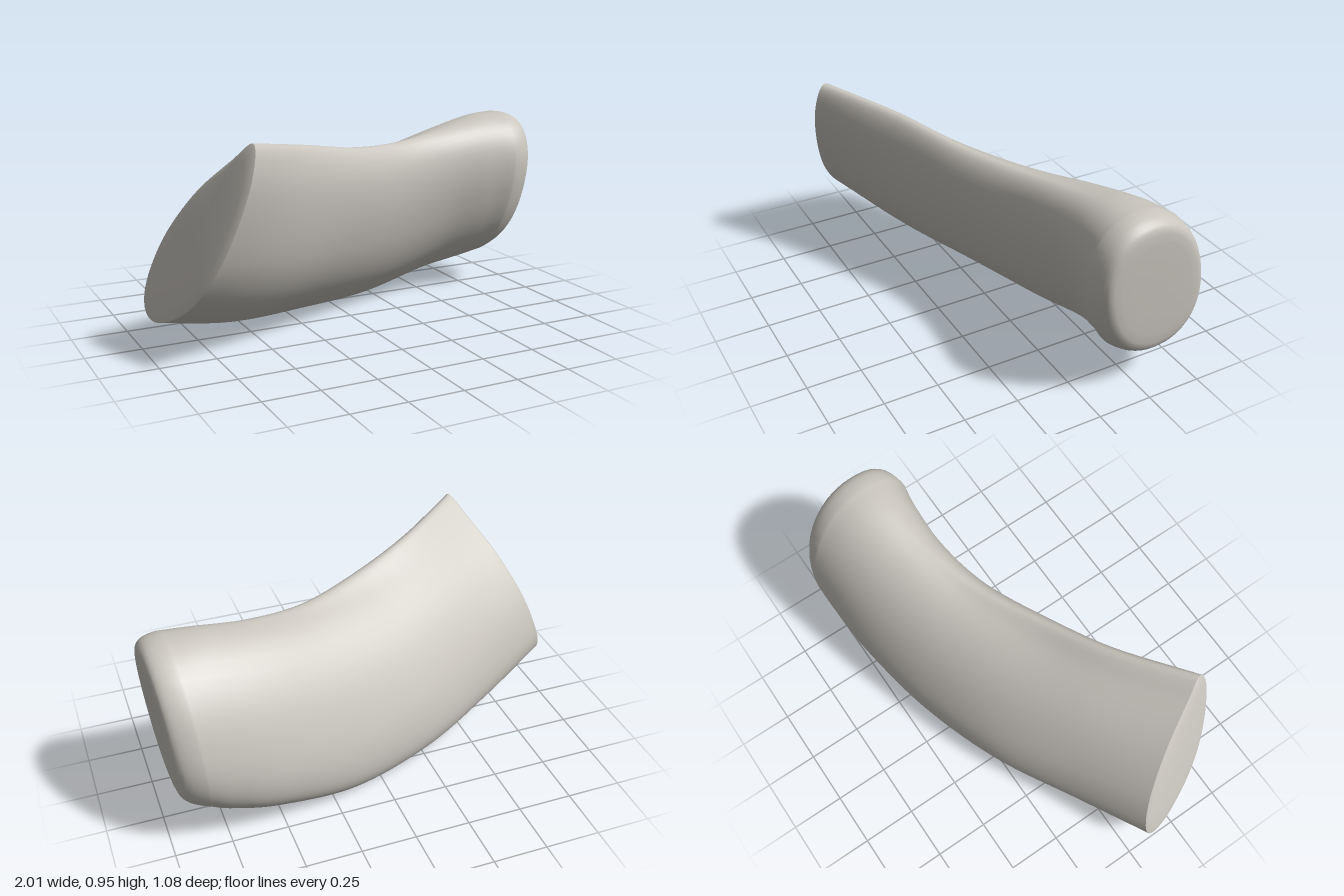
import * as THREE from 'three';

// Cross-sections along the bent body: centre, half-height vector, half-width vector
const SECTIONS = [
  [[-0.835, 0.56, 0.3], [0.157, 0.38, 0.137], [0.05, -0.04, 0.188]],
  [[-0.5, 0.475, 0.115], [0.13, 0.4, 0.11], [0.095, -0.03, 0.178]],
  [[-0.15, 0.418, -0.055], [0.09, 0.4, 0.125], [0.09, -0.015, 0.195]],
  [[0.2, 0.4, -0.185], [0.03, 0.4, 0.125], [0.07, 0, 0.205]],
  [[0.52, 0.447, -0.253], [-0.01, 0.382, 0.115], [0.03, 0, 0.226]],
  [[0.75, 0.49, -0.263], [0.015, 0.38, 0.095], [0.015, -0.01, 0.25]],
  [[0.87, 0.512, -0.256], [0.032, 0.367, 0.085], [0.015, -0.02, 0.268]],
];
// Outline of the cut end (height, width): flat back, full lower front
const CUT_OUTLINE = [
  [1.03, 0.26], [0.71, 0.74], [0.11, 1.04], [-0.31, 1.07], [-0.68, 0.86], [-1, 0.2],
  [-0.97, -0.38], [-0.72, -0.74], [-0.25, -0.88], [0.3, -0.64], [0.8, -0.06],
];
// Rounded right end: [offset, scale]
const ROUNDING = [[0.028, 0.982], [0.054, 0.957], [0.075, 0.926], [0.09, 0.89], [0.1, 0.845], [0.106, 0.78], [0.109, 0.65], [0.11, 0.35], [0.11, 0.002]];
// Gently domed cut face: [offset, scale]
const DOME = [[0, 1], [0.007, 0.95], [0.012, 0.85], [0.016, 0.6], [0.018, 0.3], [0.018, 0.002]];
const SIDES = 66;
const STEPS = 60;

const curves = [0, 1, 2].map((k) =>
  new THREE.CatmullRomCurve3(SECTIONS.map((s) => new THREE.Vector3(...s[k])), false, 'catmullrom', 0.5));
const outline = new THREE.CatmullRomCurve3(CUT_OUTLINE.map(([u, v]) => new THREE.Vector3(u, v, 0)), true);

// One ring, changing from the cut outline to a slightly squared oval
function ring(t, offset = new THREE.Vector3(), scale = 1) {
  const [c, u, v] = curves.map((curve) => curve.getPoint(t));
  const bend = (s) => Math.sign(s) * Math.abs(s) ** 0.91;
  const blend = THREE.MathUtils.smoothstep(t, 0, 0.85);
  return Array.from({ length: SIDES }, (_, j) => {
    const p = outline.getPoint(j / SIDES);
    const a = Math.atan2(p.y, p.x);
    p.lerp(new THREE.Vector3(bend(Math.cos(a)), bend(Math.sin(a)), 0), blend);
    return c.clone().add(offset).addScaledVector(u, p.x * scale).addScaledVector(v, p.y * scale);
  });
}

// Smooth skin over a row of rings
function skin(rings) {
  const index = [];
  for (let i = 0; i < rings.length - 1; i++) {
    for (let j = 0; j < SIDES; j++) {
      const a = i * SIDES + j, b = i * SIDES + ((j + 1) % SIDES);
      index.push(a, b, a + SIDES, b, b + SIDES, a + SIDES);
    }
  }
  const geometry = new THREE.BufferGeometry().setFromPoints(rings.flat());
  geometry.setIndex(index);
  geometry.computeVertexNormals();
  return geometry;
}

export function createModel() {
  const group = new THREE.Group();
  group.name = 'bentBlock';
  const stone = new THREE.MeshStandardMaterial({ color: 0xcac6bf });
  stone.name = 'warm grey';

  // Body with the rounded right end
  const rings = [];
  for (let i = 0; i <= STEPS; i++) rings.push(ring(i / STEPS));
  for (const [d, scale] of ROUNDING) rings.push(ring(1, new THREE.Vector3(d, d * 0.15, 0), scale));
  const body = new THREE.Mesh(skin(rings), stone);
  body.name = 'body';

  // Cut face at the other end, with a crisp rim
  const outward = new THREE.Vector3(-0.93, 0.28, 0.25);
  const domeRings = DOME.map(([d, scale]) => ring(0, outward.clone().multiplyScalar(d), scale)).reverse();
  const cut = new THREE.Mesh(skin(domeRings), stone);
  cut.name = 'cutFace';

  group.add(body, cut);
  return group;
}
